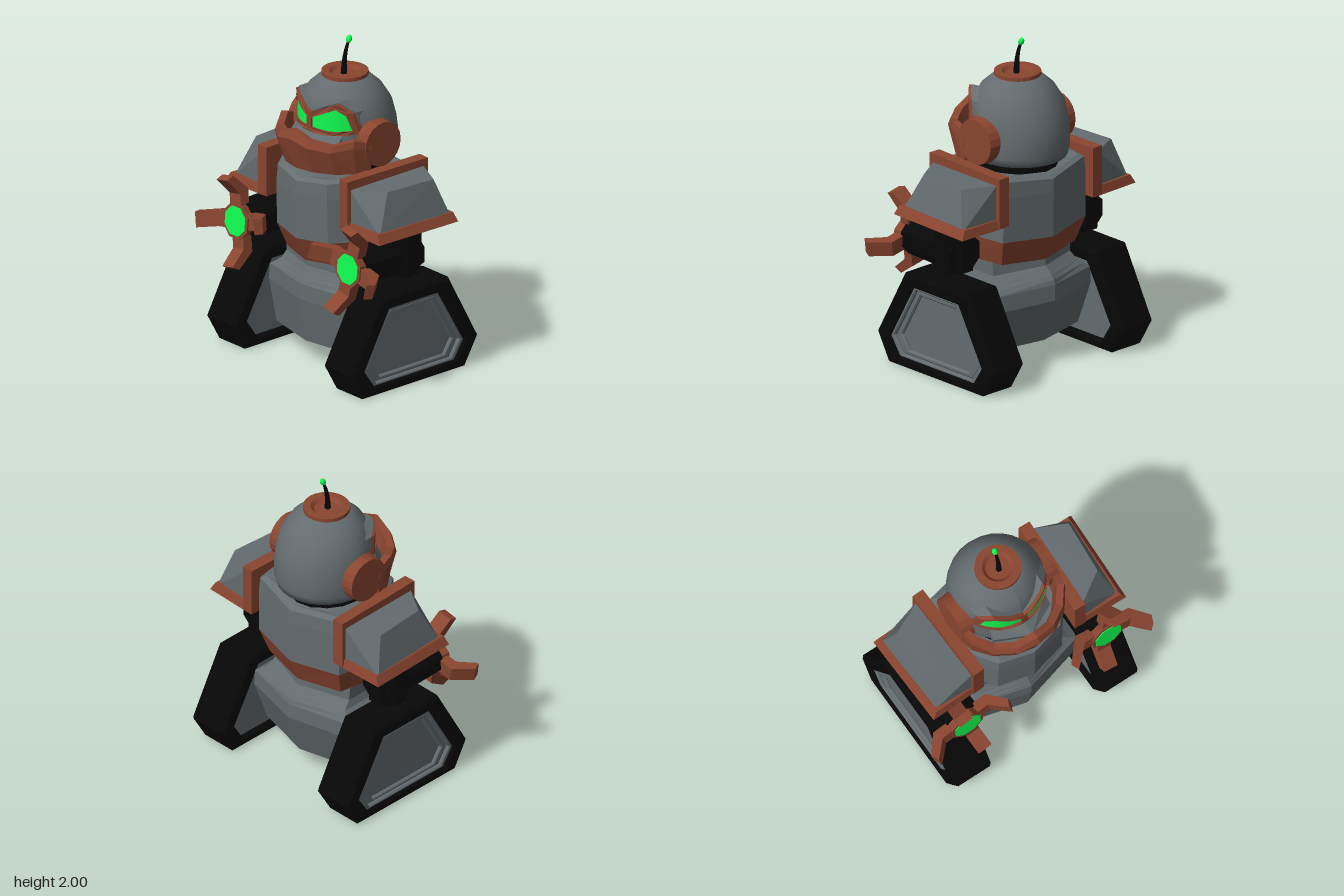
import * as THREE from 'three';
import { ConvexGeometry } from 'three/addons/geometries/ConvexGeometry.js';

const mat = (color, flatShading = true, side = THREE.FrontSide) =>
  new THREE.MeshStandardMaterial({ color, flatShading, side });
const GREY = mat(0x646c6f), GREY_SMOOTH = mat(0x646c6f, false, THREE.DoubleSide);
const RUST = mat(0x8a4530), RUST_OPEN = mat(0x8a4530, true, THREE.DoubleSide);
const BLACK = mat(0x070707), GREEN = mat(0x10fc50, true, THREE.DoubleSide);

function add(parent, name, geometry, material) {
  const mesh = new THREE.Mesh(geometry, material);
  mesh.name = name;
  parent.add(mesh);
  return mesh;
}

// Skin over a list of rings with equal point counts, closed at both ends
function loft(rings) {
  const n = rings[0].length, index = [];
  for (let i = 0; i < rings.length - 1; i++)
    for (let j = 0; j < n; j++) {
      const a = i * n + j, b = i * n + (j + 1) % n;
      index.push(a, b, b + n, a, b + n, a + n);
    }
  const last = (rings.length - 1) * n;
  for (let j = 1; j < n - 1; j++) index.push(0, j + 1, j, last, last + j, last + j + 1);
  const g = new THREE.BufferGeometry();
  g.setAttribute('position', new THREE.Float32BufferAttribute(rings.flat(2), 3));
  g.setIndex(index);
  g.computeVertexNormals();
  return g;
}

const mirrorRing = (half) => [...half, ...half.slice(1, -1).reverse().map(([x, y, z]) => [-x, y, z])];

// Horizontal chest ring: width, front and back depth, height, height gain towards the sides
const bodyRing = (w, front, back, y, lift = 0.03) => mirrorRing(
  [[0, front, 0], [0.57 * w, front * 0.86, 0.6], [w, front * 0.22, 1], [0.84 * w, back * 0.77, 0.8], [0, back, 0]]
    .map(([x, z, k]) => [x, y + lift * k, z]));

// Hull ring: wide box with a blunt point front and back
const hullRing = (w, front, back, y, lift = -0.02) => mirrorRing(
  [[0, y, front], [w, y + lift, front - 0.11], [w, y + lift, back + 0.12], [0, y, back]]);

const toShape = (pts) => new THREE.Shape(pts.map(([a, b]) => new THREE.Vector2(a, b)));

// Side profile given as [z, y], extruded from x0 to x1
function sidePlate(pts, x0, x1, hole, bevel = 0) {
  const flip = (list) => list.map(([z, y]) => [-z, y]).reverse();
  const shape = toShape(flip(pts));
  if (hole) shape.holes.push(toShape(flip(hole)));
  return new THREE.ExtrudeGeometry(shape, {
    depth: x1 - x0 - 2 * bevel, bevelEnabled: bevel > 0, bevelSize: bevel,
    bevelThickness: bevel, bevelOffset: -bevel, bevelSegments: 1,
  }).rotateY(Math.PI / 2).translate(x0 + bevel, 0, 0);
}

const hull = (pts) => new ConvexGeometry(pts.map((p) => new THREE.Vector3(...p)));
const lerp = THREE.MathUtils.lerp;

// Bend a flat piece round the upright face surface that carries the eyes
function wrapOnFace(g) {
  const p = g.attributes.position;
  for (let i = 0; i < p.count; i++) p.setZ(i, p.getZ(i) - 0.02 + Math.sqrt(0.267 ** 2 - (0.93 * p.getX(i)) ** 2));
  g.computeVertexNormals();
  return g;
}
function subdivide(pts, k = 6) {
  return pts.flatMap(([x, y], i) => {
    const [x2, y2] = pts[(i + 1) % pts.length];
    return Array.from({ length: k }, (_, j) => [lerp(x, x2, j / k), lerp(y, y2, j / k)]);
  });
}

function eye() {
  const g = new THREE.Group();
  g.name = 'eye';
  const slab = (shape, z0, z1) => wrapOnFace(
    new THREE.ExtrudeGeometry(shape, { depth: z1 - z0, bevelEnabled: false }).translate(0, 0, z0));
  const brow = toShape(subdivide([[0, 1.47], [0.262, 1.485], [0.25, 1.625], [0.18, 1.687], [0, 1.6]]));
  add(g, 'brow', slab(brow, -0.12, -0.01), GREY);
  const rim = toShape(subdivide([[0, 1.475], [0.14, 1.475], [0.265, 1.49], [0.245, 1.62], [0.18, 1.68], [0, 1.595]]));
  rim.holes.push(toShape(subdivide([[0.02, 1.505], [0.14, 1.5], [0.245, 1.512], [0.222, 1.608], [0.175, 1.645], [0.02, 1.565]])));
  add(g, 'eyeFrame', slab(rim, -0.03, 0.012), RUST);
  const lens = new THREE.PlaneGeometry(1, 1, 16, 4), p = lens.attributes.position;
  const top = (x) => (x < 0.17 ? lerp(1.56, 1.655, x / 0.17)
    : x < 0.23 ? lerp(1.655, 1.615, (x - 0.17) / 0.06) : lerp(1.615, 1.52, (x - 0.23) / 0.025));
  for (let i = 0; i < p.count; i++) {
    const x = 0.008 + 0.247 * (p.getX(i) + 0.5);
    p.setXYZ(i, x, lerp(1.492, top(x), p.getY(i) + 0.5), 0);
  }
  add(g, 'eyeLens', wrapOnFace(lens), GREEN);
  return g;
}

function track() {
  const g = new THREE.Group();
  g.name = 'track';
  const outline = [[0.40, 0], [0.495, 0.17], [0.26, 0.6], [-0.27, 0.6], [-0.50, 0.17], [-0.40, 0]];
  const opening = [[0.31, 0.06], [0.385, 0.17], [0.19, 0.52], [-0.19, 0.52], [-0.39, 0.17], [-0.32, 0.06]];
  const scaled = (k) => opening.map(([z, y]) => [z * k, 0.28 + (y - 0.28) * k]);
  add(g, 'trackBelt', sidePlate(outline, 0.395, 0.652, opening, 0.015), BLACK);
  add(g, 'trackPanel', sidePlate(scaled(1.05), 0.425, 0.60), GREY);
  add(g, 'trackOuterFrame', sidePlate(scaled(1.05), 0.595, 0.636, scaled(0.93), 0.008), GREY);
  add(g, 'trackInnerFrame', sidePlate(scaled(0.93), 0.595, 0.622, scaled(0.80), 0.008), GREY);
  return g;
}

function shoulder() {
  const g = new THREE.Group();
  g.name = 'shoulder';
  add(g, 'shoulderCollar', new THREE.BoxGeometry(0.075, 0.31, 0.615).translate(0.37, 1.125, -0.012), RUST);
  add(g, 'shoulderPad', hull([[0.40, 1.225, 0.27], [0.40, 1.235, -0.29], [0.40, 0.99, 0.27], [0.40, 0.99, -0.29],
    [0.59, 1.235, 0.14], [0.605, 1.235, -0.20], [0.655, 1.0, 0.25], [0.665, 1.0, -0.28]]), GREY);
  add(g, 'shoulderRim', hull([0.965, 1.02].flatMap((y, i) => [0.36, 0.695 - 0.03 * i].flatMap((x) =>
    [[x, y, 0.29 - 0.015 * i], [x, y, -0.315 + 0.015 * i]]))), RUST);
  g.rotation.y = -0.03;
  return g;
}

function arm() {
  const g = new THREE.Group();
  g.name = 'arm';
  add(g, 'upperArm', new THREE.CylinderGeometry(0.14, 0.12, 0.34, 8).rotateY(Math.PI / 8).translate(0.505, 0.84, -0.015), BLACK);
  add(g, 'forearm', new THREE.CylinderGeometry(0.115, 0.125, 0.44, 8).rotateY(Math.PI / 8)
    .rotateX(Math.PI / 2).translate(0.5, 0.78, 0.115), BLACK);
  const hand = new THREE.Group();
  hand.name = 'hand';
  hand.position.set(0.5, 0.78, 0.355);
  hand.rotation.x = -0.09;
  g.add(hand);
  const octagon = (r1, r2, d, z) => new THREE.CylinderGeometry(r1, r2, d, 8).rotateY(Math.PI / 8).rotateX(Math.PI / 2).translate(0, 0, z);
  add(hand, 'palm', octagon(0.115, 0.10, 0.08, 0), RUST);
  add(hand, 'palmLight', octagon(0.095, 0.095, 0.01, 0.04), GREEN);
  // Four bent fingers set crosswise
  const finger = toShape([[0.06, -0.035], [0.19, -0.035], [0.282, 0.075], [0.26, 0.125], [0.165, 0.03], [0.06, 0.03]]);
  for (let i = 0; i < 4; i++)
    add(hand, 'finger', new THREE.ExtrudeGeometry(finger, { depth: 0.095, bevelEnabled: false })
      .translate(0, 0, -0.0475).rotateX(Math.PI / 2).rotateZ(i * Math.PI / 2 - 0.2), RUST);
  return g;
}

function body() {
  const g = new THREE.Group();
  g.name = 'body';
  add(g, 'hull', loft([hullRing(0.39, 0.28, -0.25, 0.145), hullRing(0.405, 0.325, -0.345, 0.42),
    hullRing(0.40, 0.325, -0.345, 0.52), hullRing(0.355, 0.31, -0.335, 0.55), hullRing(0.325, 0.295, -0.315, 0.575),
    hullRing(0.31, 0.27, -0.265, 0.62), hullRing(0.315, 0.27, -0.26, 0.69, 0)]), GREY);
  add(g, 'belt', loft([bodyRing(0.355, 0.285, -0.265, 0.66), bodyRing(0.40, 0.36, -0.33, 0.82)]), RUST);
  add(g, 'chest', loft([bodyRing(0.40, 0.36, -0.33, 0.82), bodyRing(0.395, 0.365, -0.335, 1.1),
    bodyRing(0.385, 0.36, -0.33, 1.185, 0.045), bodyRing(0.35, 0.33, -0.30, 1.205, 0.04), bodyRing(0.27, 0.27, -0.26, 1.215, 0.01)]), GREY);
  add(g, 'neck', new THREE.CylinderGeometry(0.25, 0.25, 0.14, 16).translate(0, 1.25, -0.02), BLACK);
  return g;
}

function head() {
  const g = new THREE.Group();
  g.name = 'head';
  const lathe = (pts, seg) => new THREE.LatheGeometry(pts.map(([r, y]) => new THREE.Vector2(r, y)), seg).translate(0, 0, -0.025);
  const skull = lathe([[0, 1.275], [0.26, 1.275], [0.305, 1.28], [0.32, 1.33], [0.32, 1.42], [0.31, 1.5],
    [0.278, 1.6], [0.222, 1.69], [0.14, 1.765], [0, 1.765]], 28);
  // Narrow the sides and pull the front in to an upright face
  const s = skull.attributes.position;
  for (let i = 0; i < s.count; i++) {
    const x = s.getX(i) * (s.getY(i) < 1.55 ? 0.94 : 1);
    s.setX(i, x);
    s.setZ(i, Math.min(s.getZ(i), Math.sqrt(Math.max(0, 0.262 ** 2 - (0.93 * x) ** 2)) - 0.03));
  }
  skull.computeVertexNormals();
  add(g, 'skull', skull, GREY_SMOOTH);
  add(g, 'crownRing', lathe([[0.13, 1.755], [0.14, 1.765], [0.14, 1.788], [0.095, 1.788], [0.075, 1.768], [0, 1.768]], 24), RUST_OPEN);
  add(g, 'facePlate', hull([[0, 1.48, 0.24], [0, 1.43, 0.335], [0, 1.32, 0.30], ...[-1, 1].flatMap((k) =>
    [[k * 0.2, 1.475, 0.17], [k * 0.2, 1.41, 0.23], [k * 0.2, 1.32, 0.21]])]), GREY);
  // Jaw guard: [x, top y, top z, bottom x, bottom z] from the middle to the side
  const half = [[0, 1.515, 0.395, 0, 0.36], [0.13, 1.475, 0.37, 0.12, 0.335], [0.245, 1.455, 0.295, 0.235, 0.265],
    [0.325, 1.485, 0.19, 0.315, 0.165], [0.345, 1.45, 0.07, 0.34, 0.07]];
  const cols = [...half.slice(1).reverse().map(([x, y, z, bx, bz]) => [-x, y, z, -bx, bz]), ...half];
  add(g, 'jawGuard', loft(cols.map(([x, y, z, bx, bz]) => [[x * 0.89, y, z * 0.88], [x, y, z],
    [x * 1.01, lerp(y, 1.27, 0.2), z * 1.05], [bx, 1.268, bz], [bx * 0.87, 1.275, bz * 0.87]])), RUST);
  // Bent antenna with a lit tip
  const path = new THREE.CatmullRomCurve3([[1.76, -0.015], [1.85, -0.02], [1.92, -0.035], [1.965, -0.052]]
    .map(([y, z]) => new THREE.Vector3(0, y, z)));
  const tube = new THREE.TubeGeometry(path, 12, 0.009, 8), p = tube.attributes.position, c = new THREE.Vector3();
  for (let i = 0; i < p.count; i++) {
    const t = Math.floor(i / 9) / 12, k = lerp(2.1, 0.9, t);
    path.getPointAt(t, c);
    p.setXYZ(i, c.x + (p.getX(i) - c.x) * k, c.y + (p.getY(i) - c.y) * k, c.z + (p.getZ(i) - c.z) * k);
  }
  tube.computeVertexNormals();
  add(g, 'antenna', tube, BLACK);
  add(g, 'antennaTip', new THREE.SphereGeometry(0.018, 10, 8).scale(1, 1.4, 1).rotateX(-0.4).translate(0, 1.975, -0.056), GREEN);
  return g;
}

export function createModel() {
  const model = new THREE.Group();
  model.name = 'trackedRobot';
  model.add(body(), head());
  // Paired parts, mirrored across x = 0
  for (const s of [1, -1]) {
    const half = new THREE.Group();
    half.name = s > 0 ? 'leftSide' : 'rightSide';
    half.add(track(), shoulder(), arm(), eye());
    add(half, 'earDisc', new THREE.CylinderGeometry(0.138, 0.145, 0.08, 20).rotateZ(-Math.PI / 2).translate(0.305, 1.42, -0.02), RUST);
    half.scale.x = s;
    model.add(half);
  }
  return model;
}
